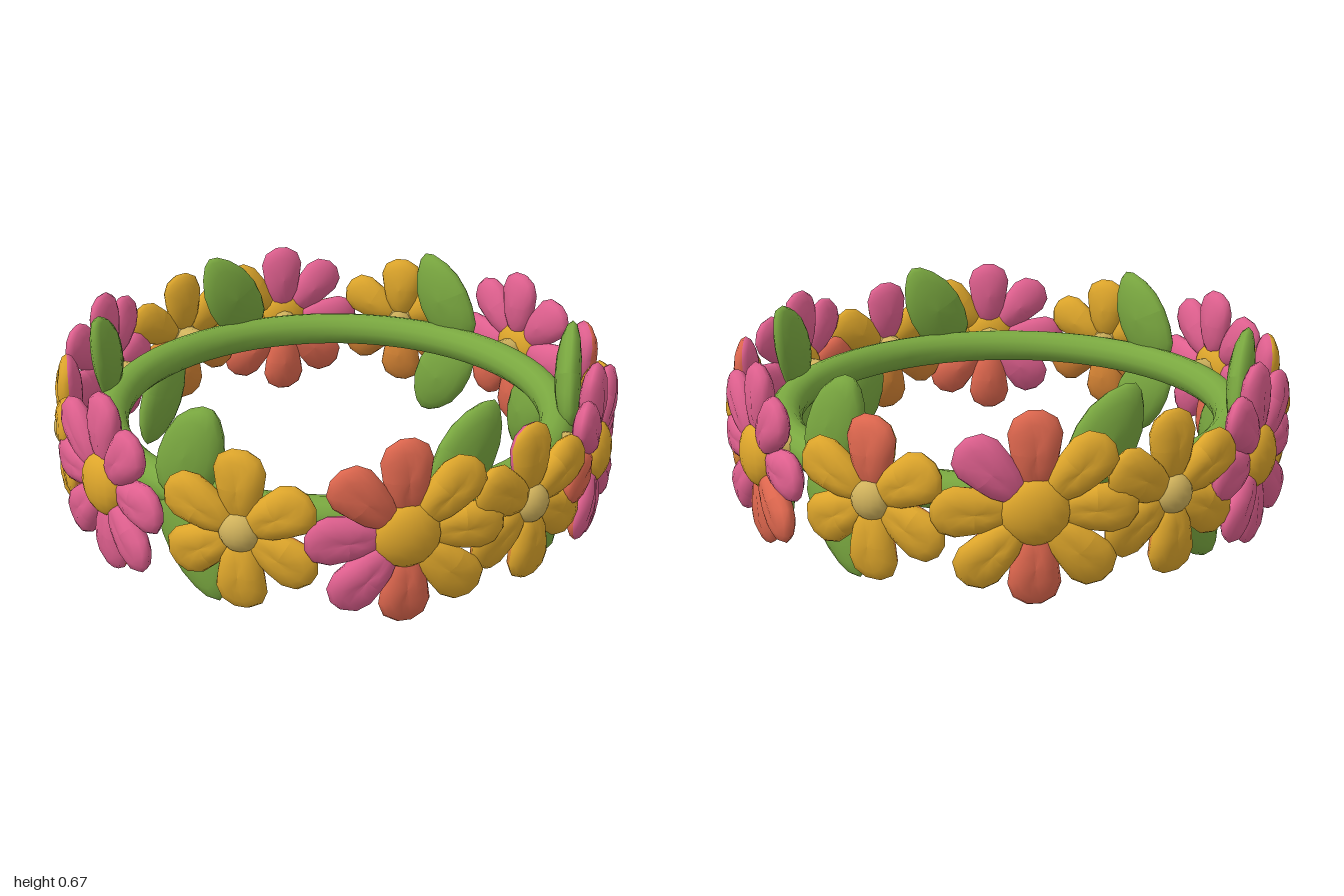
import * as THREE from 'three';

const mat = (name, color) => Object.assign(new THREE.MeshStandardMaterial({ color }), { name });
const MID = 0.35; // height of the ring and of the flower centres
const rad = THREE.MathUtils.degToRad;

// Flattened ellipsoid whose outline is reshaped by a rule; group 0 is its front half, group 1 its back
function pebble(sides, rows, rule) {
  const geo = new THREE.SphereGeometry(1, sides, rows).rotateX(Math.PI / 2);
  const p = geo.attributes.position;
  for (let i = 0; i < p.count; i++) p.setXYZ(i, ...rule(p.getX(i), p.getY(i), p.getZ(i)));
  const half = geo.index.count / 2;
  geo.clearGroups();
  geo.addGroup(0, half, 0);
  geo.addGroup(half, half, 1);
  geo.computeVertexNormals();
  return geo;
}

// Petal growing along +y from radius r0 to r1, full and blunt towards the tip
const petalGeometry = (r0, r1, width) => pebble(14, 8, (x, y, z) => {
  const full = 1 + 0.6 * x * x * y * y;
  const groove = z > 0 ? 0.01 * Math.exp(-x * x * 12) * (1 - y * y) : 0;
  return [
    x * width * full * (0.86 + 0.26 * y),
    (r0 + r1) / 2 + y * (r1 - r0) / 2,
    z * 0.046 - groove,
  ];
});

// Pointed leaf growing along +y
const leafGeometry = () => pebble(16, 8, (x, y, z) => [
  x * 0.112 * (1 - 0.3 * y * Math.abs(y)),
  0.185 + y * 0.195,
  z * 0.046 + 0.01 * y * y,
]);

export function createModel() {
  const crown = new THREE.Group();
  crown.name = 'flowerCrown';

  const green = mat('leafGreen', 0x7aa840);
  const pale = mat('paleCentre', 0xd0b25c);
  const colours = {
    P: mat('pink', 0xe0608f),
    Y: mat('golden', 0xdea62b),
    C: mat('coral', 0xe0684f),
    O: mat('orange', 0xd68434),
  };

  const add = (parent, name, geo, material) => {
    const mesh = new THREE.Mesh(geo, material);
    mesh.name = name;
    parent.add(mesh);
    return mesh;
  };
  // Holder turned so that its +z points outwards at the given angle round the ring
  const holder = (name, degrees) => {
    const group = new THREE.Group();
    group.name = name;
    group.rotation.y = rad(degrees);
    group.position.y = MID;
    crown.add(group);
    return group;
  };

  // Vine ring
  const ring = add(crown, 'vineRing', new THREE.TorusGeometry(0.793, 0.062, 12, 64).rotateX(Math.PI / 2), green);
  ring.position.y = MID;

  // Flowers every 30 degrees: petal colours of the front and of the back, clockwise from the top
  const flowers = [
    ['PPPPPPPP', 'PPPPCPPP'], ['YYYYYY', 'YYOOOY'], ['CYYYCPPC', 'PYYCCPPP'],
    ['YYYYYY', 'PYOOOY'], ['PPPPPPCP', 'PPPPPCCP'], ['CYOCCY', 'PYOCCY'],
    ['PPPCCPPP', 'PPPCCCPP'], ['CYYYYY', 'YYOOOY'], ['CYYYCYYP', 'PYYCCCPP'],
    ['YYYYYY', 'YYOOOY'], ['PPPPPPPP', 'PPPPPPPP'], ['YYYYYY', 'PYOOOY'],
  ];
  const nudge = [-2.5, 1.5, 2.5, 0, -2.5, -1];
  const bigPetal = petalGeometry(0.05, 0.315, 0.086);
  const smallPetal = petalGeometry(0.02, 0.27, 0.088);
  const stalkGeo = new THREE.CylinderGeometry(0.05, 0.05, 0.1, 10).rotateX(Math.PI / 2);

  flowers.forEach(([front, back], i) => {
    const big = front.length === 8;
    const flower = holder(big ? 'largeFlower' : 'smallFlower', i * 30 + nudge[i % 6]);
    [...front].forEach((c, k) => {
      const petal = add(flower, 'petal', big ? bigPetal : smallPetal, [colours[c], colours[back[k]]]);
      petal.rotation.z = -(k / front.length) * Math.PI * 2;
      petal.position.z = 0.925 + (k % 2) * 0.012;
    });
    const r = big ? 0.108 : 0.066;
    const centre = add(flower, 'flowerCentre', new THREE.SphereGeometry(1, 16, 10), big ? colours.Y : pale);
    centre.scale.set(r, r, big ? 0.06 : 0.05);
    centre.position.z = big ? 0.938 : 0.94;
    const stalk = add(flower, 'flowerStalk', stalkGeo, pale);
    stalk.position.z = 0.88;
  });

  // Leaves: up and down from the ring, repeated on the opposite side
  const leafGeo = leafGeometry();
  const leaf = (degrees, up) => {
    const group = holder(up ? 'upperLeaf' : 'lowerLeaf', degrees);
    const blade = add(group, 'leafBlade', leafGeo, [green, green]);
    blade.position.set(-0.09, 0, 0.82);
    blade.rotation.z = up ? rad(-28) : rad(180 + 28);
  };
  for (const side of [0, 180]) {
    for (const a of [17, 79, 133]) leaf(a + side, true);
    for (const a of [17, 105, 133, 164]) leaf(a + side, false);
  }
  return crown;
}
